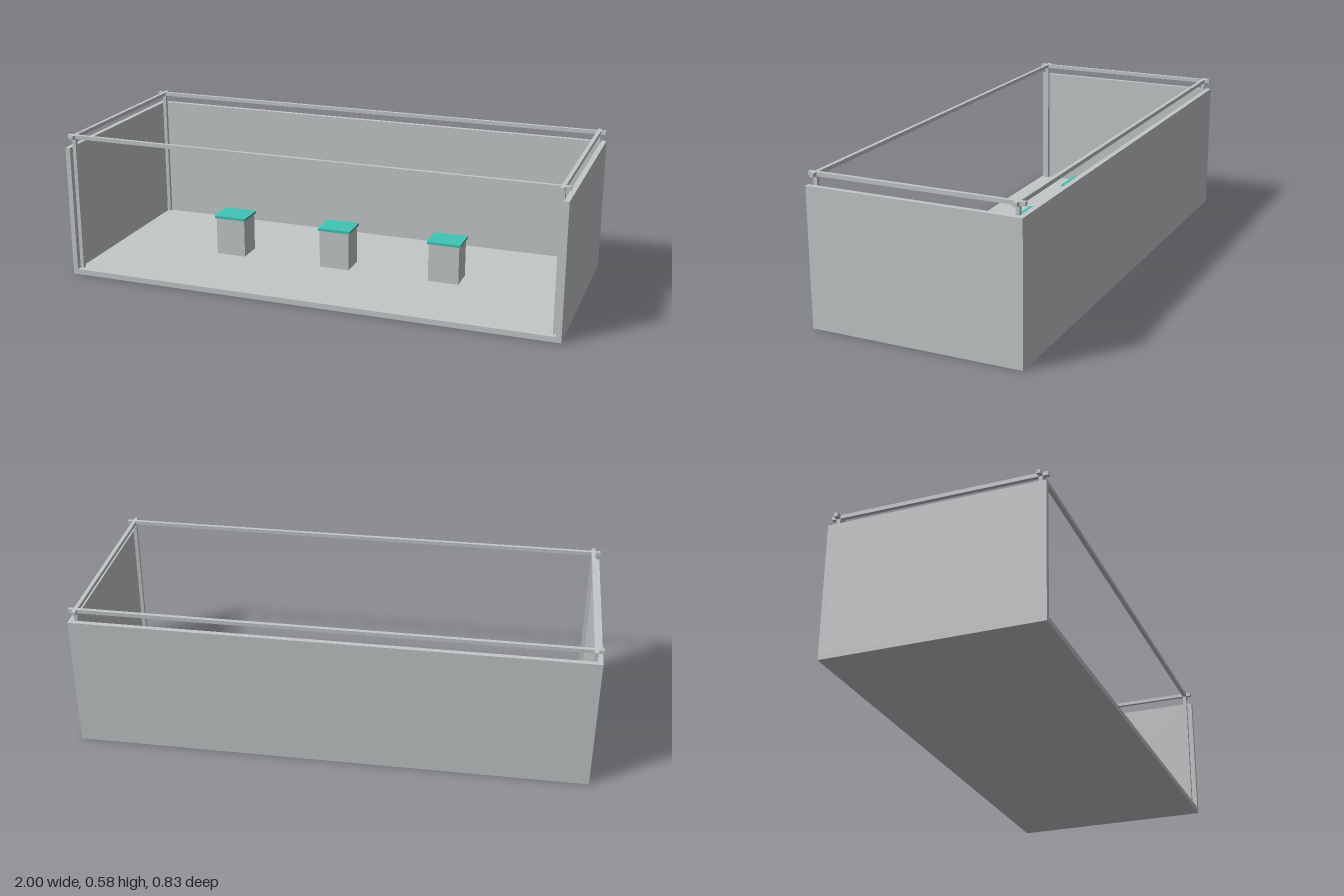
import * as THREE from 'three';

export function createModel() {
  const model = new THREE.Group();
  model.name = 'exhibitionBooth';

  const grey = new THREE.MeshStandardMaterial({ color: 0xc4c7c9 });
  grey.name = 'panel grey';
  const teal = new THREE.MeshStandardMaterial({ color: 0x40c4b4 });
  teal.name = 'counter teal';

  // Box given by its size, bottom height and centre
  function box(name, material, w, h, d, x, bottom, z, parent = model) {
    const mesh = new THREE.Mesh(new THREE.BoxGeometry(w, h, d), material);
    mesh.name = name;
    mesh.position.set(x, bottom + h / 2, z);
    parent.add(mesh);
    return mesh;
  }

  const halfDepth = 0.415;
  const thick = 0.02;
  const wallTop = 0.535;
  const bar = 0.015;
  const railBottom = 0.568;
  const postX = 0.972;
  const postZ = 0.387;

  // Floor and the three walls; the front stays open
  box('floor', grey, 2, 0.022, halfDepth * 2, 0, 0, 0);
  const wallHeight = wallTop - 0.022;
  box('backWall', grey, 2, wallHeight, thick, 0, 0.022, -halfDepth + thick / 2);
  for (const side of [-1, 1]) {
    box(side > 0 ? 'leftWall' : 'rightWall', grey, thick, wallHeight, halfDepth * 2 - thick,
      side * (1 - thick / 2), 0.022, thick / 2);
  }

  // Corner posts carrying a frame of crossing rails
  for (const side of [-1, 1]) {
    for (const end of [-1, 1]) {
      box('cornerPost', grey, bar, railBottom - 0.022, bar, side * postX, 0.022, end * postZ);
    }
    box('sideRail', grey, bar, bar, halfDepth * 2, side * postX, railBottom, 0);
    box(side > 0 ? 'frontRail' : 'backRail', grey, 2, bar, bar, 0, railBottom, side * postZ);
  }

  // Row of display pedestals with overhanging tops
  for (const x of [-0.46, 0, 0.46]) {
    const pedestal = new THREE.Group();
    pedestal.name = 'pedestal';
    pedestal.position.x = x;
    box('pedestalBody', grey, 0.125, 0.157, 0.104, 0, 0.022, 0, pedestal);
    box('pedestalTop', teal, 0.136, 0.011, 0.116, 0, 0.179, 0, pedestal);
    model.add(pedestal);
  }

  return model;
}
